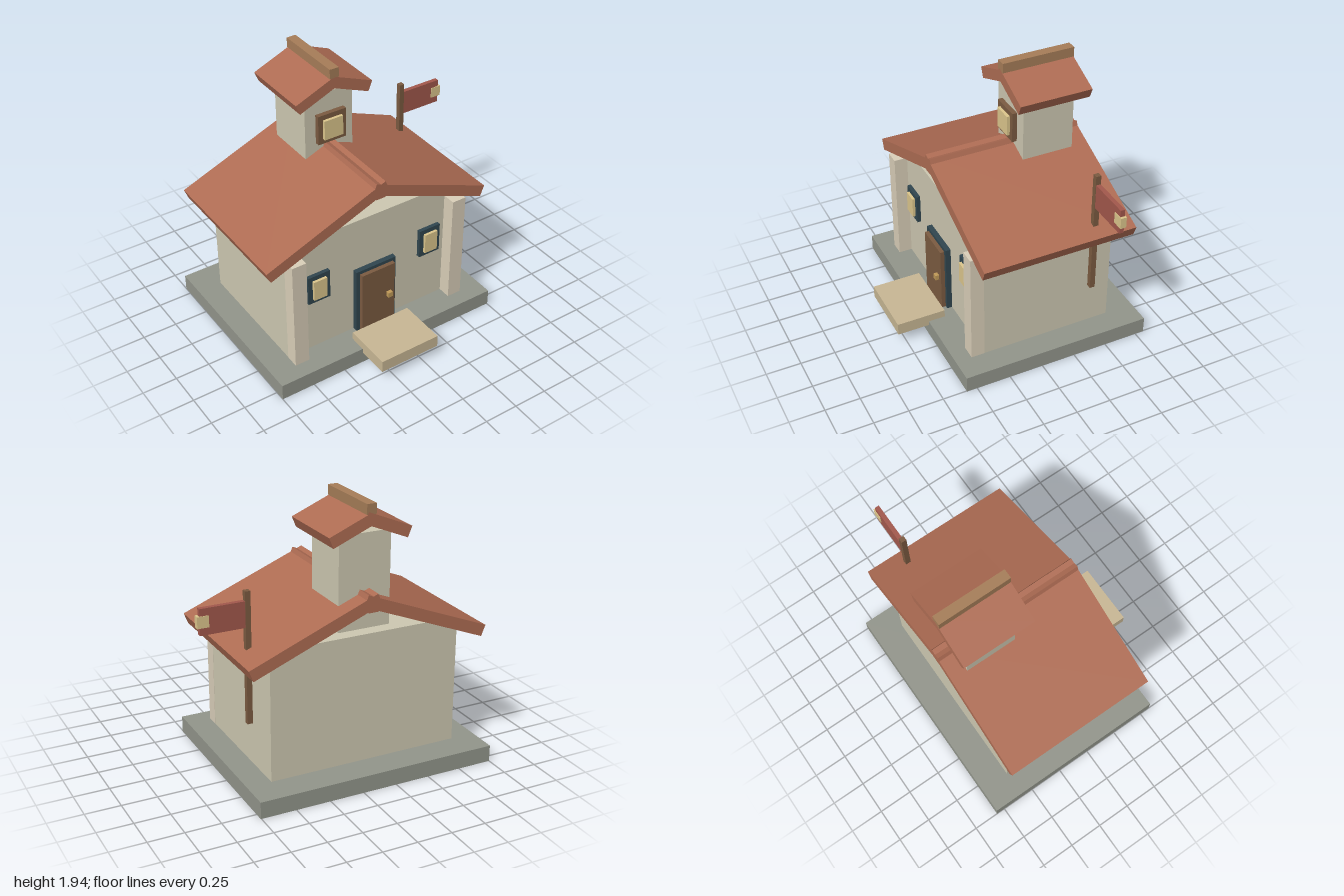
import * as THREE from 'three';

const CX = -0.12; // centre line of the house
const C = {
  stone: 0x92958b, wall: 0xcdc8b1, post: 0xdacfb9, roof: 0xae6c53, wood: 0x7b5b41,
  trim: 0x30464f, glass: 0xdcc68c, step: 0xc8b794, ridge: 0xa67d58, sign: 0xa2584c, knob: 0xc09a58,
};
const mats = {};
for (const k in C) mats[k] = new THREE.MeshStandardMaterial({ color: C[k], flatShading: true });

export function createModel() {
  const model = new THREE.Group();
  model.name = 'house';

  const add = (name, geometry, mat, parent = model) => {
    const mesh = new THREE.Mesh(geometry, mats[mat]);
    mesh.name = name;
    parent.add(mesh);
    return mesh;
  };

  // Box given by its limits on each axis
  const box = (name, mat, x0, x1, y0, y1, z0, z1, parent) =>
    add(name, new THREE.BoxGeometry(x1 - x0, y1 - y0, z1 - z0), mat, parent)
      .position.set((x0 + x1) / 2, (y0 + y1) / 2, (z0 + z1) / 2);

  // Pair of sloping slabs, mirrored about the centre line and crossing at the ridge
  const gableRoof = (name, eave, top, thick, z0, z1) => {
    const roof = new THREE.Group();
    roof.name = name;
    const a = Math.atan2(top[1] - eave[1], top[0] - eave[0]);
    const length = Math.hypot(top[0] - eave[0], top[1] - eave[1]);
    for (const s of [-1, 1]) {
      const slab = add(s < 0 ? 'rightSlope' : 'leftSlope',
        new THREE.BoxGeometry(length, thick, z1 - z0), 'roof', roof);
      const mx = (eave[0] + top[0]) / 2 + Math.sin(a) * thick / 2;
      const my = (eave[1] + top[1]) / 2 - Math.cos(a) * thick / 2;
      slab.position.set(s < 0 ? mx : 2 * CX - mx, my, (z0 + z1) / 2);
      slab.rotation.z = -s * a;
    }
    model.add(roof);
  };

  // Framed window with a raised pane, centred on x, y
  const framedWindow = (name, frameMat, x, y, w, h, border, z0, z1, z2) => {
    const g = new THREE.Group();
    g.name = name;
    box('frame', frameMat, x - w / 2, x + w / 2, y - h / 2, y + h / 2, z0, z1, g);
    const pw = w / 2 - border, ph = h / 2 - border;
    box('pane', 'glass', x - pw, x + pw, y - ph, y + ph, z1 - 0.01, z2, g);
    model.add(g);
  };

  // Base, step and main body
  box('base', 'stone', -1, 0.755, 0, 0.12, -0.815, 0.577);
  box('step', 'step', -0.353, 0.113, 0.087, 0.177, 0.452, 0.81);
  box('walls', 'wall', -0.82, 0.58, 0.12, 1.043, -0.6, 0.362);
  for (const s of [-1, 1]) {
    const x = CX + s * 0.648;
    box(s < 0 ? 'rightPost' : 'leftPost', 'post', x - 0.054, x + 0.054, 0.12, 0.958, 0.362, 0.46);
    framedWindow(s < 0 ? 'rightWindow' : 'leftWindow', 'trim',
      CX + s * 0.457, 0.643, 0.172, 0.222, 0.034, 0.355, 0.39, 0.41);
  }

  // Door
  box('doorFrame', 'trim', -0.286, 0.04, 0.12, 0.641, 0.355, 0.4);
  box('door', 'wood', -0.257, 0.014, 0.12, 0.616, 0.39, 0.43);
  box('doorKnob', 'knob', -0.056, -0.02, 0.354, 0.393, 0.425, 0.458);

  // Main roof
  gableRoof('mainRoof', [-1, 0.979], [-0.085, 1.344], 0.083, -0.68, 0.442);
  box('ridgeBeam', 'roof', -0.156, -0.086, 1.22, 1.29, -0.68, 0.442);

  // Tower with its window and roof
  box('tower', 'wall', -0.31, 0.07, 1.067, 1.725, -0.557, -0.178);
  framedWindow('towerWindow', 'wood', CX, 1.473, 0.222, 0.222, 0.037, -0.17, -0.135, -0.113);
  gableRoof('towerRoof', [-0.42, 1.75], [-0.1, 1.882], 0.08, -0.635, -0.1);
  box('towerRidge', 'ridge', -0.156, -0.086, 1.865, 1.936, -0.635, -0.1);

  // Sign on a pole beside the house
  box('signPole', 'wood', 0.633, 0.67, 0.489, 1.414, -0.438, -0.4);
  box('signBoard', 'sign', 0.67, 0.98, 1.168, 1.348, -0.435, -0.403);
  box('signPanel', 'glass', 0.918, 0.998, 1.219, 1.298, -0.44, -0.398);

  return model;
}
